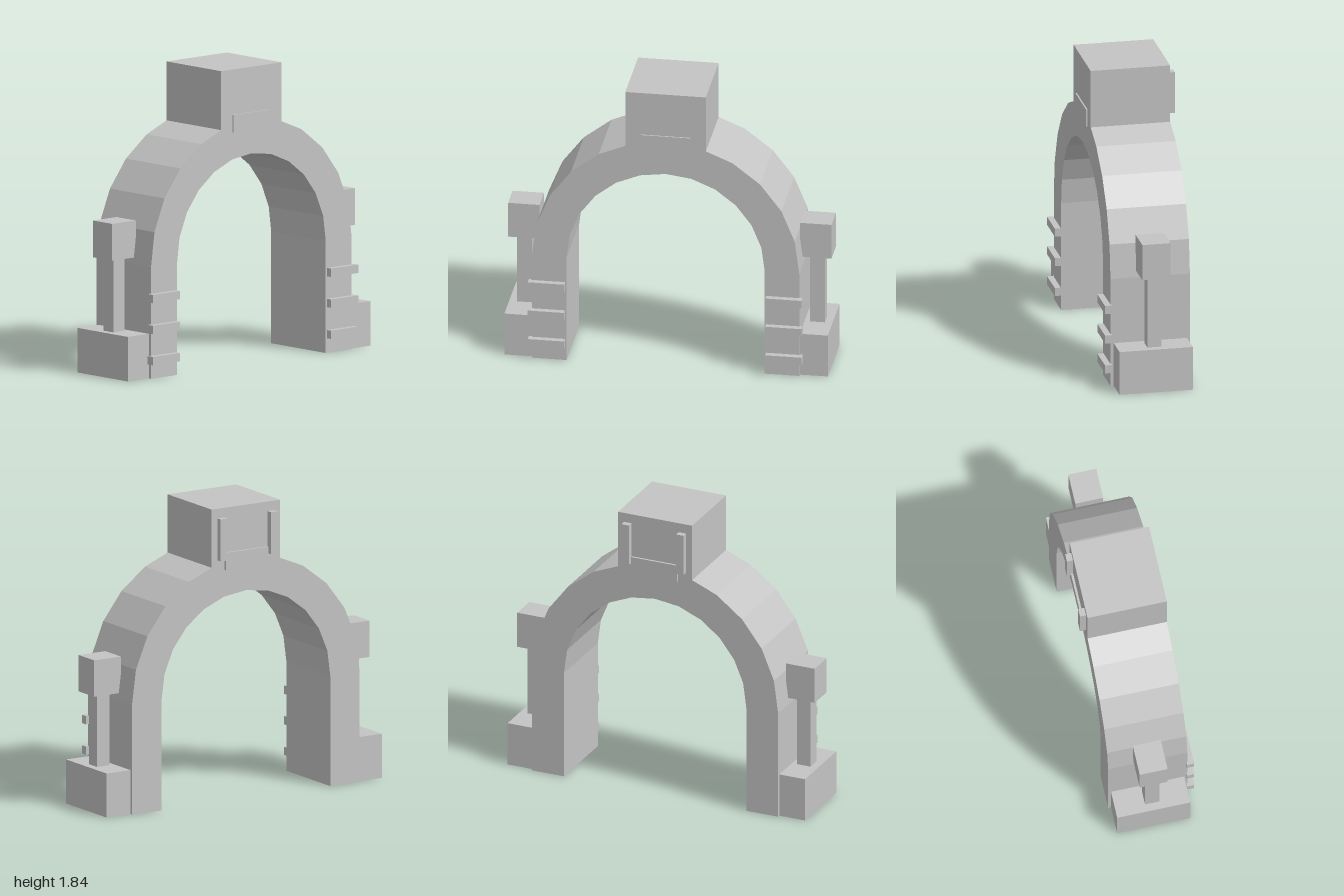
import * as THREE from 'three';

export function createModel() {
  const model = new THREE.Group();
  const stone = new THREE.MeshStandardMaterial({ color: 0xc4c4c4 });
  stone.name = 'grey stone';

  const HALF_DEPTH = 0.248;
  const SPRING_Y = 0.691; // height where the legs turn into the arch
  const OUTER = 0.827;
  const INNER = 0.613;
  const STEPS = 12;

  // Box given by its extents on each axis
  function box(name, [x0, x1], [y0, y1], [z0, z1], parent = model) {
    const mesh = new THREE.Mesh(new THREE.BoxGeometry(x1 - x0, y1 - y0, z1 - z0), stone);
    mesh.position.set((x0 + x1) / 2, (y0 + y1) / 2, (z0 + z1) / 2);
    mesh.name = name;
    parent.add(mesh);
  }

  // Faceted arch with straight legs
  const outline = [];
  const ring = (radius, i) => {
    const a = (i / STEPS) * Math.PI;
    return new THREE.Vector2(radius * Math.cos(a), SPRING_Y + radius * Math.sin(a));
  };
  outline.push(new THREE.Vector2(OUTER, 0));
  for (let i = 0; i <= STEPS; i++) outline.push(ring(OUTER, i));
  outline.push(new THREE.Vector2(-OUTER, 0), new THREE.Vector2(-INNER, 0));
  for (let i = STEPS; i >= 0; i--) outline.push(ring(INNER, i));
  outline.push(new THREE.Vector2(INNER, 0));
  const archGeometry = new THREE.ExtrudeGeometry(new THREE.Shape(outline), {
    depth: HALF_DEPTH * 2, bevelEnabled: false,
  });
  archGeometry.translate(0, 0, -HALF_DEPTH);
  const arch = new THREE.Mesh(archGeometry, stone);
  arch.name = 'arch';
  model.add(arch);

  // Block on the crown, with a plaque on each face
  box('crownBlock', [-0.249, 0.249], [1.44, 1.84], [-HALF_DEPTH, HALF_DEPTH]);
  box('frontPlaque', [-0.154, 0.154], [1.45, 1.56], [0.24, 0.257]);
  box('backPlaque', [-0.154, 0.154], [1.45, 1.56], [-0.262, -0.24]);

  // Side parts, mirrored by swapping the sign of x
  for (const [side, s] of [['left', 1], ['right', -1]]) {
    const group = new THREE.Group();
    group.name = side + 'Side';
    model.add(group);
    const span = (a, b) => (s > 0 ? [a, b] : [-b, -a]);

    // Lamp post on a plinth
    box('plinth', span(0.8, 1), [0, 0.276], [-0.23, 0.228], group);
    box('lampPost', span(0.86, 0.952), [0.27, 0.74], [-0.045, 0.044], group);
    box('lampHead', span(0.806, 1), [0.73, 0.958], [-0.089, 0.086], group);

    // Rungs on the front of the leg
    for (const y of [0.116, 0.309, 0.5]) {
      box('rung', span(0.622, 0.847), [y - 0.026, y + 0.026], [0.24, 0.286], group);
    }

    // Upright bar on the back of the crown block
    box('backBar', span(0.158, 0.208), [1.517, 1.78], [-0.286, -0.24], group);
  }

  return model;
}
